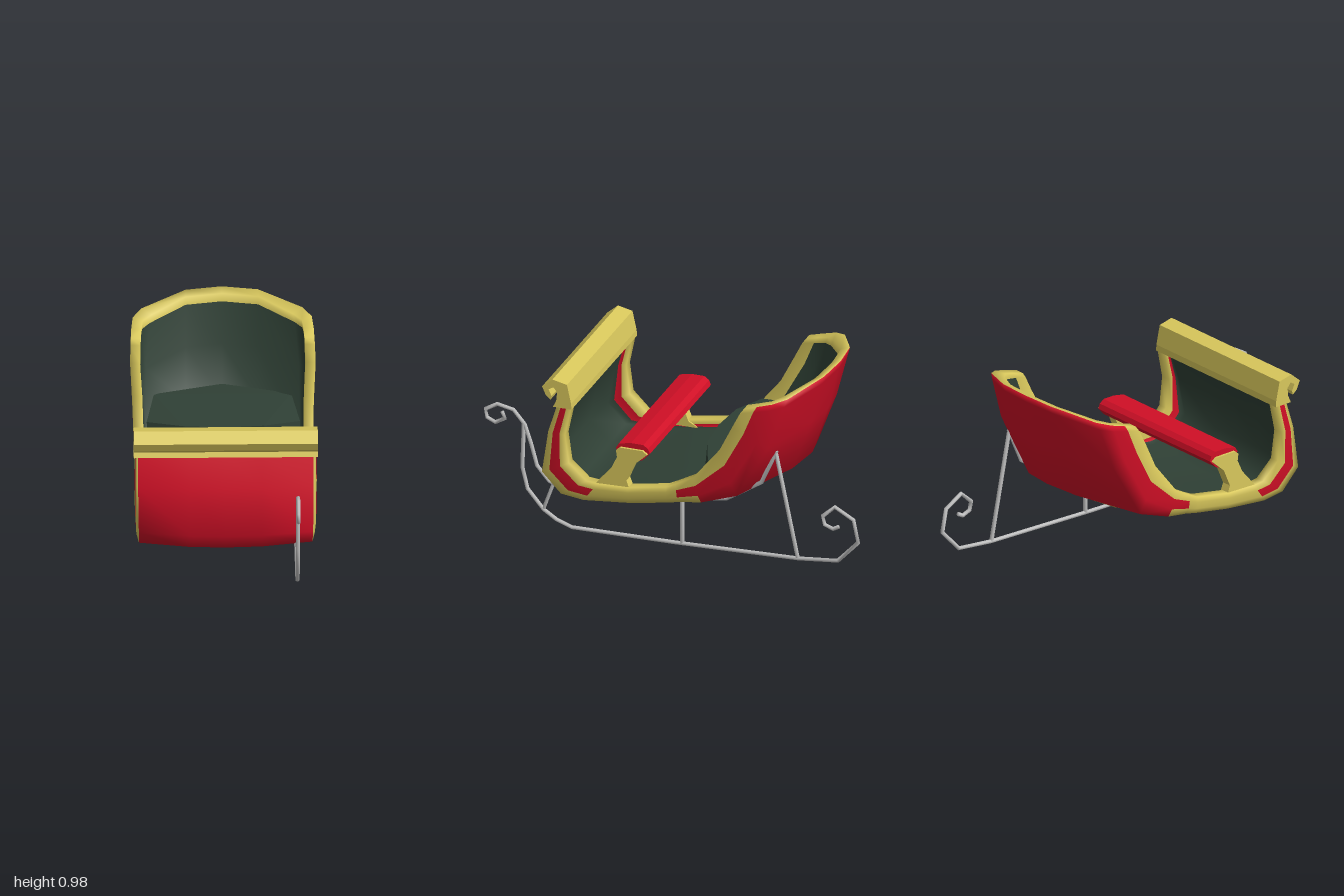
import * as THREE from 'three';
import { ConvexGeometry } from 'three/addons/geometries/ConvexGeometry.js';

const paint = (name, color) => {
  const m = new THREE.MeshStandardMaterial({ color });
  m.name = name;
  return m;
};

// Skin over rows of [x, y, z] rings; pick(i, j) gives each quad's material index
function skin(rows, pick, materialCount, capEnd) {
  const n = rows[0].length;
  const faces = Array.from({ length: materialCount }, () => []);
  for (let i = 0; i < rows.length - 1; i++) {
    for (let j = 0; j < n; j++) {
      const k = (j + 1) % n;
      const a = i * n + j, b = a + n, c = i * n + k, d = c + n;
      faces[pick(i, j)].push(a, c, b, c, d, b);
    }
  }
  if (capEnd !== undefined) {
    const l = (rows.length - 1) * n;
    for (let j = 0; j < n / 2 - 1; j++) {
      const a = l + j, w = l + n - 1 - j;
      faces[capEnd].push(a, a + 1, w, a + 1, w - 1, w);
    }
  }
  const g = new THREE.BufferGeometry();
  g.setAttribute('position', new THREE.Float32BufferAttribute(rows.flat(2), 3));
  g.setIndex(faces.flat());
  let start = 0;
  faces.forEach((f, m) => { g.addGroup(start, f.length, m); start += f.length; });
  g.computeVertexNormals();
  return g;
}

// Side outline of [z, y] points, extruded across x
function acrossX(points, x0, x1) {
  const shape = new THREE.Shape(points.map(([z, y]) => new THREE.Vector2(z, y)));
  const g = new THREE.ExtrudeGeometry(shape, { depth: x1 - x0, bevelEnabled: false });
  return g.rotateY(-Math.PI / 2).translate(x1, 0, 0);
}

// Six-sided bar following [z, y] points in the plane x = 0.355
function bar(path, r = 0.011) {
  const rows = path.map(([z, y], i) => {
    const p = path[Math.max(i - 1, 0)], q = path[Math.min(i + 1, path.length - 1)];
    const len = Math.hypot(q[0] - p[0], q[1] - p[1]);
    const tz = (q[0] - p[0]) / len, ty = (q[1] - p[1]) / len;
    return Array.from({ length: 6 }, (_, k) => {
      const a = k * Math.PI / 3, c = Math.cos(a) * r;
      return [0.355 + Math.sin(a) * r, y - tz * c, z + ty * c];
    });
  });
  // pinch both ends shut
  const close = ([z, y]) => Array.from({ length: 6 }, () => [0.355, y, z]);
  rows.unshift(close(path[0]));
  rows.push(close(path[path.length - 1]));
  return skin(rows, () => 0, 1);
}

// Hull stations from front top, under the floor, to the top of the back:
// centre [z, y], corner [x, z, y], rim [x, z, y]
const stations = [
  [[0.585, 0.72], [0.435, 0.575, 0.72], [0.45, 0.497, 0.72]],
  [[0.65, 0.56], [0.435, 0.625, 0.56], [0.452, 0.53, 0.56]],
  [[0.69, 0.32], [0.432, 0.66, 0.33], [0.45, 0.51, 0.41]],
  [[0.57, 0.20], [0.43, 0.56, 0.225], [0.445, 0.42, 0.325]],
  [[0.44, 0.188], [0.43, 0.44, 0.21], [0.445, 0.36, 0.32]],
  [[0.2, 0.215], [0.43, 0.2, 0.235], [0.445, 0.2, 0.325]],
  [[-0.02, 0.25], [0.425, 0, 0.268], [0.44, 0, 0.36]],
  [[-0.36, 0.31], [0.42, -0.06, 0.28], [0.44, -0.05, 0.385]],
  [[-0.47, 0.38], [0.425, -0.18, 0.30], [0.445, -0.147, 0.44]],
  [[-0.61, 0.46], [0.43, -0.37, 0.37], [0.45, -0.287, 0.614]],
  [[-0.695, 0.72], [0.43, -0.54, 0.66], [0.46, -0.36, 0.76]],
  [[-0.75, 0.945], [0.41, -0.615, 0.89], [0.457, -0.4, 0.84]],
  [[-0.76, 0.985], [0.40, -0.63, 0.93], [0.455, -0.42, 0.868]],
];

// Closed ring: outer skin from left rim to right rim, then back along the inner skin
function ring([[zc, yc], [xk, zk, yk], [xr, zr, yr]]) {
  const t = 0.05, len = Math.hypot(zr - zc, yr - yc);
  const dz = (zr - zc) / len * t, dy = (yr - yc) / len * t;
  const mix = (a, b, f) => a + (b - a) * f;
  const outer = [
    [0, yc, zc],
    [0.18, mix(yc, yk, 0.15), mix(zc, zk, 0.15)],
    [xk, yk, zk],
    [mix(xk, xr, 0.8), mix(yk, yr, 0.3), mix(zk, zr, 0.3)],
    [mix(xk, xr, 0.95), mix(yk, yr, 0.68), mix(zk, zr, 0.68)],
    [xr, yr, zr],
  ];
  const depth = [1, 1, 0.9, 0.5, 0.1, 0];
  const inner = outer.map(([x, y, z], j) =>
    [j < 2 ? x : x - t, y + dy * depth[j], z + dz * depth[j]]);
  const flip = ([x, y, z]) => [-x, y, z];
  const full = h => [...h.slice(1).reverse(), ...h.map(flip)];
  return [...full(outer), ...full(inner).reverse()];
}

const RED = 0, GOLD = 1, GREEN = 2;
function hullColour(i, j) {
  if (j === 10 || j === 21) return GOLD;            // rim edge
  const inside = j > 10;
  const s = inside ? 20 - j : j;
  const band = s < 5 ? s : 9 - s;                   // 0 = rim ... 4 = centre
  if (band === 0) return GOLD;
  if (inside) {
    if (i === 11) return GOLD;
    return band === 1 && i < 7 ? RED : GREEN;
  }
  if (band === 1) return i < 4 || i >= 7 ? RED : GOLD;
  if (band === 2) return i < 8 ? GOLD : RED;
  return i === 7 ? GOLD : RED;                      // band under the floor
}

export function createModel() {
  const red = paint('red', 0xd00f26);
  const gold = paint('gold', 0xd9c85c);
  const green = paint('dark green', 0x2f4035);
  const silver = paint('silver', 0xc0c0c0);
  const model = new THREE.Group();
  model.name = 'sleigh';
  const add = (name, geometry, material) => {
    const mesh = new THREE.Mesh(geometry, material);
    mesh.name = name;
    model.add(mesh);
  };

  add('body', skin(stations.map(ring), hullColour, 3, GOLD), [red, gold, green]);

  // Rolled top of the front panel
  add('frontRoll', acrossX([
    [0.494, 0.708], [0.496, 0.74], [0.518, 0.84], [0.595, 0.857], [0.65, 0.81],
    [0.63, 0.765], [0.605, 0.745], [0.6, 0.765], [0.615, 0.8], [0.59, 0.815],
    [0.57, 0.79], [0.575, 0.745], [0.592, 0.708],
  ], -0.456, 0.456), gold);

  // Seat cushion with a bowed front
  const seat = [[0, 0.525, -0.112], [0, 0.30, -0.11], [0, 0.54, -0.57], [0, 0.36, -0.39]];
  for (const s of [-1, 1]) {
    seat.push([s * 0.2, 0.525, -0.13], [s * 0.38, 0.515, -0.2], [s * 0.2, 0.30, -0.12],
      [s * 0.37, 0.33, -0.17], [s * 0.34, 0.54, -0.46], [s * 0.3, 0.37, -0.3]);
  }
  add('seat', new ConvexGeometry(seat.map(p => new THREE.Vector3(...p))), green);

  // Padded bar and its two posts
  add('crossBar', acrossX([
    [0.27, 0.525], [0.255, 0.55], [0.19, 0.563], [0.125, 0.563], [0.1, 0.545],
    [0.09, 0.52], [0.13, 0.478], [0.2, 0.455], [0.25, 0.48],
  ], -0.425, 0.425), red);
  for (const s of [-1, 1]) {
    add(s > 0 ? 'leftPost' : 'rightPost', acrossX([
      [0.42, 0.29], [0.37, 0.32], [0.29, 0.415], [0.26, 0.48], [0.265, 0.517],
      [0.245, 0.535], [0.125, 0.535], [0.1, 0.517], [0.17, 0.453], [0.21, 0.36],
      [0.195, 0.32], [0.14, 0.29],
    ], s > 0 ? 0.385 : -0.438, s > 0 ? 0.438 : -0.385), gold);
  }

  // Runner with scrolled ends, upper rail and struts
  add('upperRail', bar([
    [0.9, 0.585], [0.885, 0.55], [0.935, 0.52], [0.98, 0.54], [0.988, 0.585],
    [0.925, 0.622], [0.84, 0.605], [0.78, 0.535], [0.745, 0.43], [0.715, 0.32],
    [0.65, 0.245], [0.545, 0.205], [0.44, 0.195], [-0.02, 0.262], [-0.29, 0.31],
    [-0.475, 0.43], [-0.555, 0.615],
  ]), silver);
  add('runner', bar([
    [0.785, 0.54], [0.793, 0.3], [0.765, 0.185], [0.68, 0.085], [0.61, 0.04],
    [0.53, 0.012], [-0.02, 0.022], [-0.67, 0.045], [-0.88, 0.068], [-0.988, 0.185],
    [-0.963, 0.305], [-0.865, 0.36], [-0.8, 0.3], [-0.81, 0.255], [-0.855, 0.238],
    [-0.885, 0.255],
  ]), silver);
  add('frontStrut', bar([[0.63, 0.23], [0.68, 0.09]], 0.009), silver);
  add('middleStrut', bar([[-0.055, 0.265], [-0.055, 0.022]]), silver);
  add('rearStrut', bar([[-0.55, 0.615], [-0.668, 0.045]]), silver);
  return model;
}
